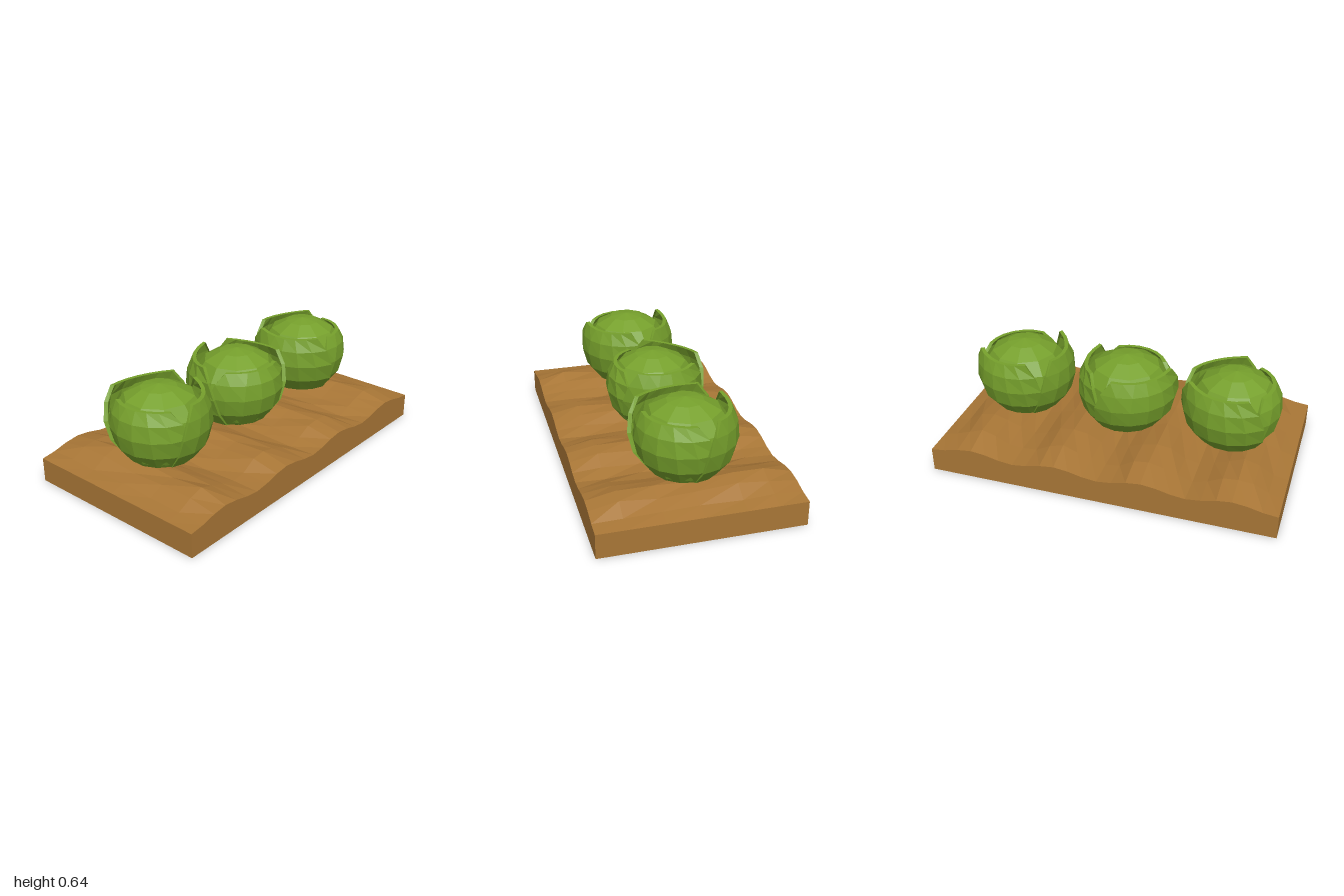
import * as THREE from 'three';

const soilMat = new THREE.MeshStandardMaterial({ color: 0xa87636, flatShading: true, side: THREE.DoubleSide });
soilMat.name = 'soil brown';
const leafMat = new THREE.MeshStandardMaterial({ color: 0x76a02c, flatShading: true, side: THREE.DoubleSide });
leafMat.name = 'cabbage green';

// Surface through a grid of points; faces point along (v direction) x (u direction)
function gridGeometry(nu, nv, point) {
  const pos = [], index = [];
  for (let i = 0; i <= nu; i++) for (let j = 0; j <= nv; j++) pos.push(...point(i, j));
  for (let i = 0; i < nu; i++) for (let j = 0; j < nv; j++) {
    const a = i * (nv + 1) + j, b = a + nv + 1;
    index.push(a, a + 1, b + 1, a, b + 1, b);
  }
  const g = new THREE.BufferGeometry();
  g.setAttribute('position', new THREE.Float32BufferAttribute(pos, 3));
  g.setIndex(index);
  g.computeVertexNormals();
  return g;
}

function part(name, geometry, material) {
  const mesh = new THREE.Mesh(geometry, material);
  mesh.name = name;
  return mesh;
}

// Soil: four furrowed ridges that flatten towards the edges
const HALF_Z = 0.56, SEG = 24;
const rowsZ = [-HALF_Z, -0.4, -0.23, 0, 0.2, 0.4, HALF_Z];
const ridge = [0.04, 0.075, 0.083, 0.068, 0.065, 0.075, 0.04];
function soilPoint(i, j) {
  const x = -1 + (2 * i) / SEG;
  const inner = i > 0 && i < SEG && j > 0 && j < rowsZ.length - 1;
  const bump = inner ? 0.007 * Math.sin(i * 2.3 + j * 4.1) : 0;
  const y = 0.14 + ridge[j] * (1 - Math.cos(4 * Math.PI * x)) / 2 + bump;
  return [x, y, rowsZ[j]];
}

function makeSoil() {
  const soil = new THREE.Group();
  soil.name = 'soilBed';
  const last = rowsZ.length - 1;
  soil.add(part('soilTop', gridGeometry(SEG, last, soilPoint), soilMat));
  // Open-bottomed side walls
  const wall = (name, n, edge) => soil.add(part(name, gridGeometry(n, 1, (i, j) => {
    const p = edge(i);
    return j ? p : [p[0], 0, p[2]];
  }), soilMat));
  wall('frontWall', SEG, i => soilPoint(SEG - i, last));
  wall('backWall', SEG, i => soilPoint(i, 0));
  wall('leftWall', last, i => soilPoint(SEG, i));
  wall('rightWall', last, i => soilPoint(0, last - i));
  return soil;
}

// Leaf cross-section: radius, height and half-width in degrees
const leafRows = [
  [0.07, 0.18, 68], [0.18, 0.232, 66], [0.247, 0.32, 63],
  [0.27, 0.42, 59], [0.258, 0.51, 52], [0.222, 0.575, 42],
];

// Curved leaf with a turned-in rim that gives it thickness
function makeLeaf(name, centre, scale, widen, flare, lift) {
  const cols = 6, rows = leafRows.length;
  return part(name, gridGeometry(cols + 2, rows + 1, (i, j) => {
    const u = Math.min(Math.max(i - 1, 0), cols) / cols * 2 - 1;
    const row = Math.min(Math.max(j - 1, 0), rows - 1);
    const rim = i === 0 || i === cols + 2 || j === 0 || j === rows + 1;
    const [r0, y0, half] = leafRows[row];
    const up = row / (rows - 1);
    const r = r0 * scale + flare * up ** 3 * (0.5 + 0.5 * u * u) - (rim ? 0.022 : 0);
    const y = y0 + up ** 3 * lift * (0.4 + 0.6 * u * u);
    const a = THREE.MathUtils.degToRad(centre + u * half * widen);
    return [r * Math.cos(a), y, r * Math.sin(a)];
  }), leafMat);
}

// Cabbage: faceted heart wrapped by three overlapping leaves
const heartProfile = [[0, 0.18], [0.12, 0.2], [0.2, 0.255], [0.245, 0.34], [0.257, 0.42],
  [0.243, 0.5], [0.19, 0.575], [0.1, 0.622], [0, 0.638]].map(p => new THREE.Vector2(...p));

function makeCabbage(name, x, seam) {
  const cabbage = new THREE.Group();
  cabbage.name = name;
  cabbage.add(part('heart', new THREE.LatheGeometry(heartProfile, 10), leafMat));
  cabbage.add(makeLeaf('innerLeaf', 58, 1, 1.15, 0.005, -0.005));
  cabbage.add(makeLeaf('middleLeaf', -60, 1.04, 1.03, 0.025, 0.02));
  cabbage.add(makeLeaf('outerLeaf', 178, 1.08, 1.06, 0.03, 0.022));
  cabbage.position.x = x;
  cabbage.rotation.y = -THREE.MathUtils.degToRad(seam);
  return cabbage;
}

export function createModel() {
  const model = new THREE.Group();
  model.name = 'cabbagePatch';
  model.add(makeSoil());
  model.add(makeCabbage('rightCabbage', -0.63, 110));
  model.add(makeCabbage('middleCabbage', 0, 50));
  model.add(makeCabbage('leftCabbage', 0.63, -10));
  return model;
}
